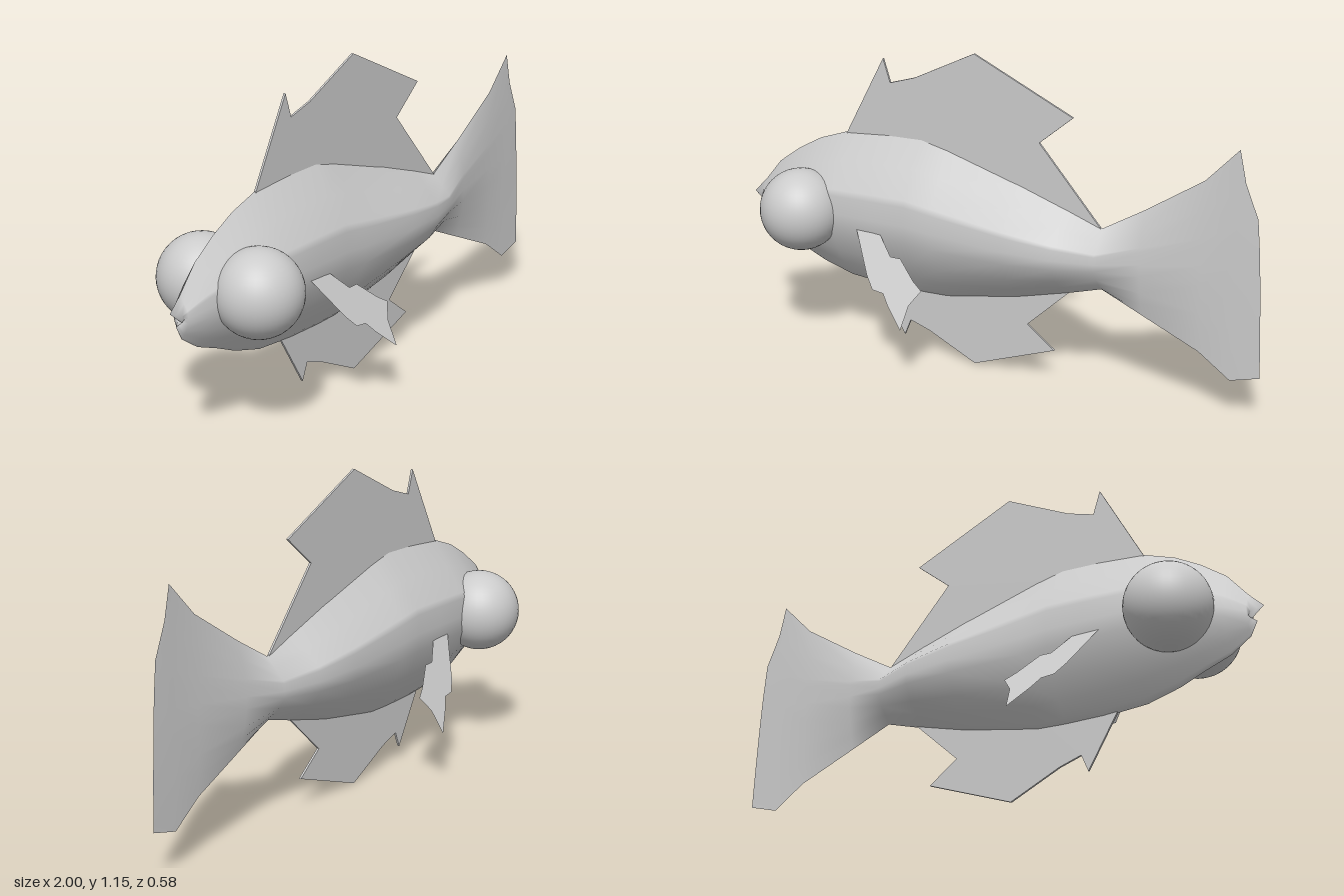
import * as THREE from 'three';

const grey = new THREE.MeshStandardMaterial({ color: 0xcccccc });
const thin = new THREE.MeshStandardMaterial({ color: 0xcccccc, side: THREE.DoubleSide });

// Body and tail stations: x, top y, bottom y, half width
const stations = [
  [-0.95, 0.56, 0.41, 0.03],
  [-0.88, 0.645, 0.36, 0.058],
  [-0.79, 0.71, 0.325, 0.088],
  [-0.7, 0.76, 0.285, 0.115],
  [-0.58, 0.802, 0.25, 0.134],
  [-0.42, 0.815, 0.237, 0.136],
  [-0.28, 0.818, 0.235, 0.136],
  [-0.18, 0.795, 0.238, 0.136],
  [0.1, 0.712, 0.29, 0.134],
  [0.28, 0.652, 0.338, 0.115],
  [0.42, 0.602, 0.38, 0.072],
  [0.57, 0.692, 0.314, 0.032],
  [0.78, 0.83, 0.222, 0.007],
  [0.895, 0.952, 0.14, 0.004],
];

// Half cross-section from back ridge to belly keel: height fraction, width fraction
const section = [
  [0, 0], [0.17, 0.5], [0.33, 0.95], [0.37, 1], [0.49, 1.02], [0.6, 1],
  [0.77, 0.7], [0.88, 0.38], [0.97, 0.13], [1, 0],
];

// One side of the body; the separate halves keep the ridge and keel sharp
function bodySide(s) {
  const rings = [];
  // mouth pocket and lips, whose corners sit further back
  rings.push(section.map(() => [-0.93, 0.45, 0]));
  rings.push(section.map(([t, w]) => [-1 + 0.035 * w + 0.025 * t, 0.51 - 0.05 * t, s * 0.014 * w]));
  for (const [x, top, bottom, half] of stations) {
    rings.push(section.map(([t, w]) => [x, top + (bottom - top) * t, s * half * w]));
  }
  // curved trailing edge of the tail
  rings.push(section.map(([t]) => [0.92 + 0.08 * t ** 0.3, 0.84 - 0.67 * t, 0]));

  const n = section.length;
  const index = [];
  for (let i = 0; i < rings.length - 1; i++) {
    for (let j = 0; j < n - 1; j++) {
      const a = i * n + j, b = a + 1, c = a + n, d = c + 1;
      if (s > 0) index.push(a, b, c, b, d, c);
      else index.push(a, c, b, b, c, d);
    }
  }
  const geometry = new THREE.BufferGeometry();
  geometry.setAttribute('position', new THREE.Float32BufferAttribute(rings.flat(2), 3));
  geometry.setIndex(index);
  geometry.computeVertexNormals();
  return geometry;
}

const outline = (points) => new THREE.Shape(points.map(([x, y]) => new THREE.Vector2(x, y)));

// Flat fin standing on the centre plane
function medianFin(points) {
  const depth = 0.008;
  return new THREE.ExtrudeGeometry(outline(points), { depth, bevelEnabled: false })
    .translate(0, 0, -depth / 2);
}

// Side fin: a flat outline that leans outward as it drops
function sideFin(s) {
  const geometry = new THREE.ShapeGeometry(outline([
    [-0.475, 0.49], [-0.375, 0.485], [-0.315, 0.425], [-0.275, 0.425], [-0.205, 0.365], [-0.165, 0.34],
    [-0.2, 0.29], [-0.21, 0.21], [-0.28, 0.275], [-0.31, 0.31], [-0.355, 0.315], [-0.39, 0.355],
  ]));
  const p = geometry.attributes.position;
  for (let i = 0; i < p.count; i++) p.setZ(i, s * (0.135 + 0.56 * (0.49 - p.getY(i))));
  geometry.computeVertexNormals();
  return geometry;
}

export function createModel() {
  const model = new THREE.Group();
  model.name = 'fish';
  const add = (name, geometry, material = grey) => {
    const mesh = new THREE.Mesh(geometry, material);
    mesh.name = name;
    model.add(mesh);
    return mesh;
  };

  // Paired parts
  for (const [side, s] of [['Front', 1], ['Back', -1]]) {
    add('body' + side, bodySide(s), thin);
    add('eye' + side, new THREE.SphereGeometry(0.149, 40, 24)).position.set(-0.717, 0.521, s * 0.12);
    add('sideFin' + side, sideFin(s), thin);
  }

  // Fins on the back and belly
  add('dorsalFin', medianFin([
    [-0.59, 0.79], [-0.43, 1.09], [-0.403, 1.005], [-0.305, 1.035], [-0.07, 1.15],
    [0.305, 0.975], [0.18, 0.87], [0.415, 0.6], [0.1, 0.68], [-0.28, 0.78],
  ]));
  add('bellyFin', medianFin([
    [-0.48, 0.26], [-0.36, 0.056], [-0.335, 0.117], [-0.255, 0.09], [-0.07, 0.0],
    [0.245, 0.115], [0.14, 0.195], [0.31, 0.355], [0.1, 0.31], [-0.2, 0.26],
  ]));
  return model;
}
